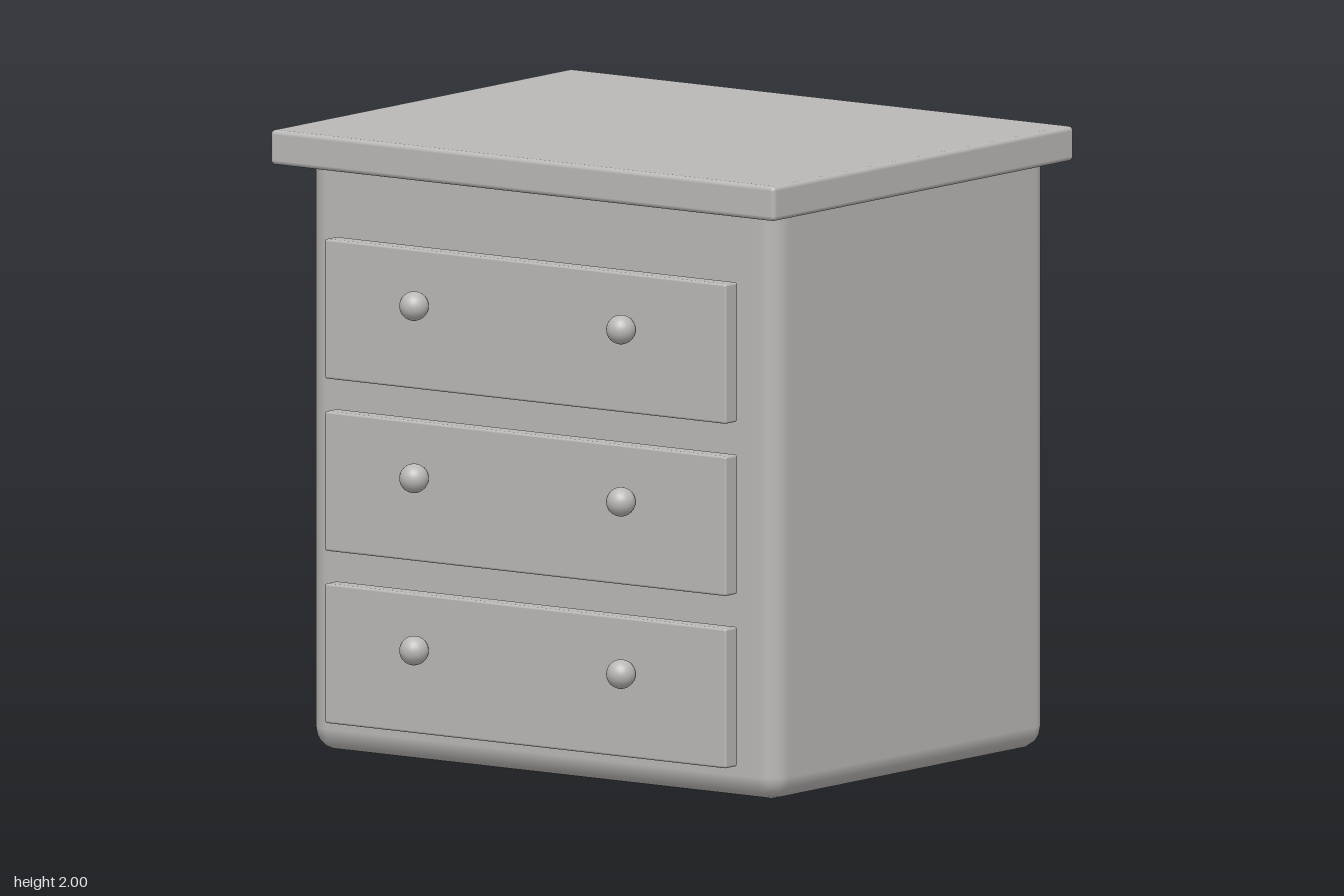
import * as THREE from 'three';
import { RoundedBoxGeometry } from 'three/addons/geometries/RoundedBoxGeometry.js';

export function createModel() {
  const model = new THREE.Group();
  model.name = 'chestOfDrawers';
  const grey = new THREE.MeshStandardMaterial({ color: 0xbab8b6 });
  grey.name = 'warmGrey';

  // Rounded block given by its minimum and maximum corners
  function block(name, min, max, radius, segments, parent = model) {
    const [w, h, d] = max.map((v, i) => v - min[i]);
    const mesh = new THREE.Mesh(new RoundedBoxGeometry(w, h, d, segments, radius), grey);
    mesh.position.set(...max.map((v, i) => (v + min[i]) / 2));
    mesh.name = name;
    parent.add(mesh);
  }

  // Cabinet body, its rounded top hidden inside the worktop
  block('body', [-0.93, 0, -0.795], [0.93, 1.965, 0.662], 0.075, 2);
  block('top', [-1, 1.888, -0.83], [1, 2, 0.765], 0.015, 2);

  // Three drawer fronts, each with a pair of round knobs
  const knobGeometry = new THREE.SphereGeometry(0.047, 24, 16);
  for (let i = 0; i < 3; i++) {
    const y = 0.11 + i * 0.5535;
    const drawer = new THREE.Group();
    drawer.name = 'drawer' + (i + 1);
    block('drawerFront', [-0.796, y, 0.684], [0.796, y + 0.449, 0.748], 0.008, 2, drawer);
    for (const x of [-0.413, 0.407]) {
      const knob = new THREE.Mesh(knobGeometry, grey);
      knob.position.set(x, y + 0.273, 0.784);
      knob.name = x < 0 ? 'rightKnob' : 'leftKnob';
      drawer.add(knob);
    }
    model.add(drawer);
  }
  return model;
}
